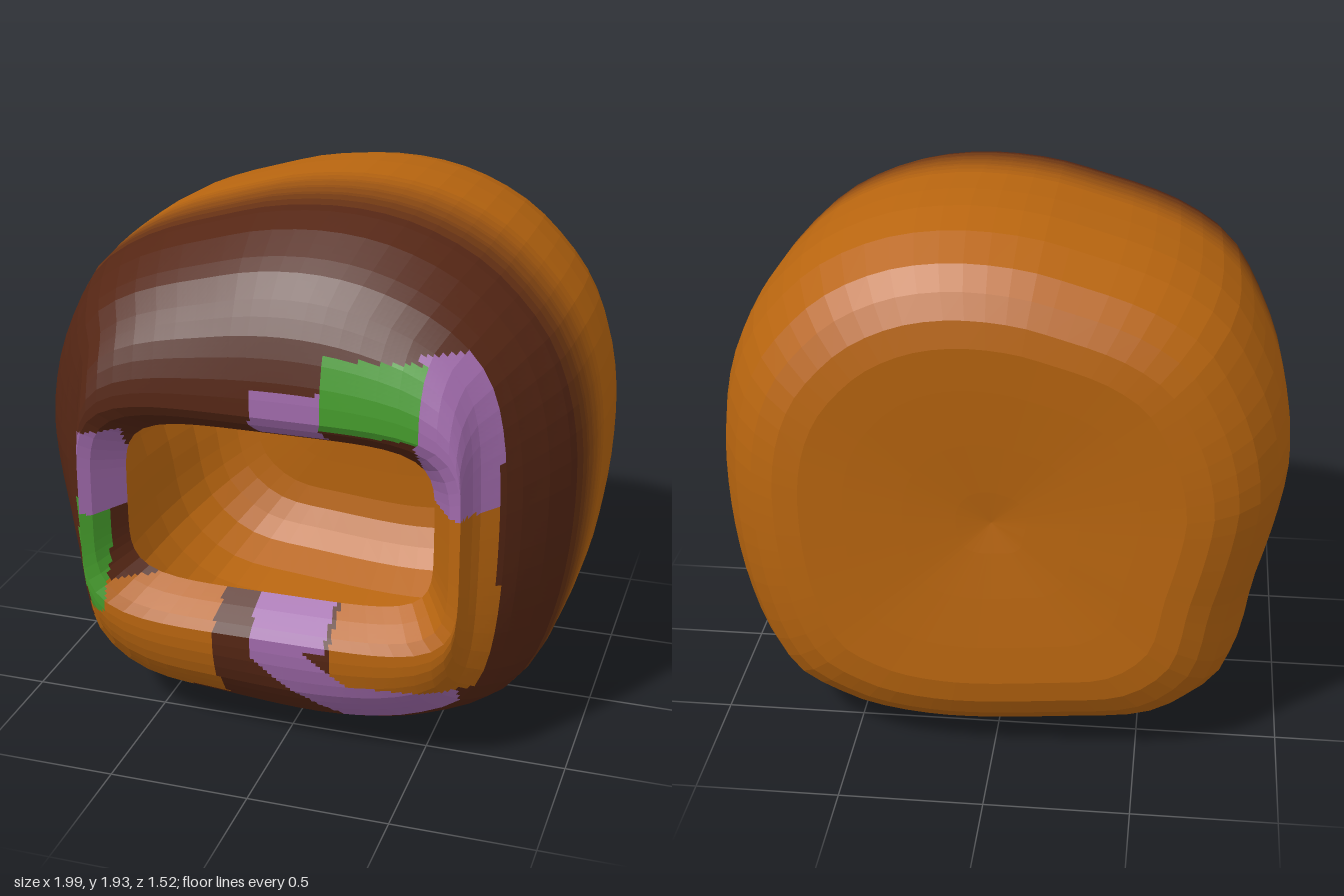
import * as THREE from 'three';

const SEG = 72, SPLIT = 4, FADE = 10;
const ORANGE = new THREE.Color(0xb8650f), BROWN = new THREE.Color(0x552614);
const PURPLE = new THREE.Color(0xa06aab), GREEN = new THREE.Color(0x459c2c);
const { lerp, clamp } = THREE.MathUtils;

// Widest outline of the head, counter-clockwise from its left side
const OUTLINE = [
  [0.99, 0.93], [0.985, 1.15], [0.945, 1.35], [0.87, 1.52], [0.76, 1.66], [0.64, 1.77], [0.5, 1.85],
  [0.34, 1.905], [0.13, 1.93], [-0.12, 1.91], [-0.31, 1.86], [-0.5, 1.8], [-0.64, 1.735], [-0.78, 1.63],
  [-0.88, 1.47], [-0.95, 1.31], [-0.985, 1.17], [-1, 1.03], [-0.98, 0.88], [-0.945, 0.72], [-0.9, 0.55],
  [-0.875, 0.4], [-0.835, 0.26], [-0.74, 0.15], [-0.6, 0.07], [-0.3, 0.03], [0.2, 0], [0.5, 0.04],
  [0.65, 0.1], [0.77, 0.17], [0.86, 0.3], [0.93, 0.5], [0.97, 0.7],
];
const outer = new THREE.CatmullRomCurve3(OUTLINE.map(([x, y]) => new THREE.Vector3(x, y, 0)), true)
  .getSpacedPoints(SEG);

// Rounded rectangle around the face opening
function opening(j, a, b) {
  const t = (j / SEG) * Math.PI * 2, c = Math.cos(t), s = Math.sin(t), n = 5;
  const k = Math.pow(Math.abs(c) ** n + Math.abs(s) ** n, -1 / n);
  return new THREE.Vector3(-0.01 + a * c * k, 0.89 + b * s * k, 0);
}

// Back sections from the dented middle outwards: z, scale of the outline
const BACK = [
  [-0.7, 0.001], [-0.715, 0.12], [-0.732, 0.3], [-0.748, 0.5], [-0.757, 0.65], [-0.742, 0.74],
  [-0.7, 0.82], [-0.63, 0.89], [-0.5, 0.955], [-0.35, 0.99], [-0.2, 1], [-0.08, 1],
];

// Front sections: z, then spread in x and y from opening (0) to outline (1)
const FRONT = [
  [0, 0.99, 1], [0.09, 0.98, 0.995], [0.18, 0.965, 0.985], [0.27, 0.93, 0.97], [0.35, 0.85, 0.94],
  [0.45, 0.69, 0.88], [0.55, 0.48, 0.78], [0.6, 0.35, 0.72], [0.66, 0.13, 0.6], [0.69, 0.07, 0.52],
  [0.72, 0.03, 0.43], [0.74, 0.01, 0.32], [0.755, 0, 0.2], [0.76, 0, 0.1], [0.76, 0, 0],
];

// Lip turning into the opening: half width, half height, z
const LIP = [[0.63, 0.375, 0.74], [0.59, 0.335, 0.68], [0.55, 0.3, 0.62]];

function buildRings() {
  const ring = (fn) => Array.from({ length: SEG }, (_, j) => fn(j));
  return [
    ...BACK.map(([z, s]) => ring((j) =>
      new THREE.Vector3(outer[j].x * s, 0.93 + (outer[j].y - 0.93) * s, z))),
    ...FRONT.map(([z, tx, ty]) => ring((j) => {
      const p = opening(j, 0.67, 0.41);
      return new THREE.Vector3(lerp(p.x, outer[j].x, tx), lerp(p.y, outer[j].y, ty), z);
    })),
    ...LIP.map(([a, b, z]) => ring((j) => opening(j, a, b).setZ(z))),
  ];
}

// Painted patches on the front: part, x range, y range (first match wins)
const PATCHES = [
  ['greenPatch', 0.18, 0.52, 1.27, 1.52], ['greenPatch', -0.75, -0.6, 0.5, 0.86],
  ['purplePatch', -0.06, 0.18, 1.2, 1.4], ['purplePatch', 0.5, 0.76, 1.02, 1.54],
  ['purplePatch', -0.71, -0.55, 0.86, 1.17], ['purplePatch', -0.07, 0.2, 0.46, 0.61],
  ['orangePatch', -0.72, -0.2, 0.17, 0.61], ['orangePatch', 0.22, 0.76, 0.34, 1.02],
];
const PATCH_COLORS = { greenPatch: GREEN, purplePatch: PURPLE, orangePatch: ORANGE };

function partAt(c) {
  if (c.z > 0.6) {
    // curved purple streak under the opening
    const streak = Math.max(0.45 - 0.85 * c.x, 0.23);
    if (c.x > -0.07 && c.x < 0.64 && c.y < 0.5 && Math.abs(c.y - streak) < 0.11) return 'purplePatch';
    const hit = PATCHES.find(([, x0, x1, y0, y1]) => c.x > x0 && c.x < x1 && c.y > y0 && c.y < y1);
    return hit ? hit[0] : 'frontFur';
  }
  // fur fades from orange to brown, reaching further back underneath
  const z = c.z + 0.22 * clamp((0.1 - c.y) / 0.08, 0, 1);
  const step = Math.round(clamp((z + 0.03) / 0.35, 0, 1) * FADE);
  return step === 0 ? 'backShell' : step === FADE ? 'frontFur' : 'fadeBand' + step;
}

function colorOf(name) {
  if (PATCH_COLORS[name]) return PATCH_COLORS[name];
  if (name === 'backShell') return ORANGE;
  if (name === 'frontFur') return BROWN;
  return ORANGE.clone().lerp(BROWN, Number(name.slice('fadeBand'.length)) / FADE);
}

export function createModel() {
  const group = new THREE.Group();
  group.name = 'hollowHead';
  const rings = buildRings();
  const parts = {};
  // sort the facets of the loft, split into small cells, into coloured parts
  for (let i = 0; i < rings.length - 1; i++) {
    const split = rings[i][0].z < -0.3 ? 1 : SPLIT;
    for (let j = 0; j < SEG; j++) {
      const k = (j + 1) % SEG;
      const at = (u, v) => rings[i][j].clone().lerp(rings[i][k], u / split)
        .lerp(rings[i + 1][j].clone().lerp(rings[i + 1][k], u / split), v / split);
      for (let u = 0; u < split; u++) {
        for (let v = 0; v < split; v++) {
          const a = at(u, v), b = at(u + 1, v), c = at(u + 1, v + 1), d = at(u, v + 1);
          (parts[partAt(at(u + 0.5, v + 0.5))] ??= []).push(a, b, c, a, c, d);
        }
      }
    }
  }
  for (const [name, points] of Object.entries(parts)) {
    const geometry = new THREE.BufferGeometry().setFromPoints(points);
    geometry.computeVertexNormals();
    const mesh = new THREE.Mesh(geometry, new THREE.MeshStandardMaterial({
      color: colorOf(name), flatShading: true, side: THREE.DoubleSide,
    }));
    mesh.name = name;
    group.add(mesh);
  }
  return group;
}
